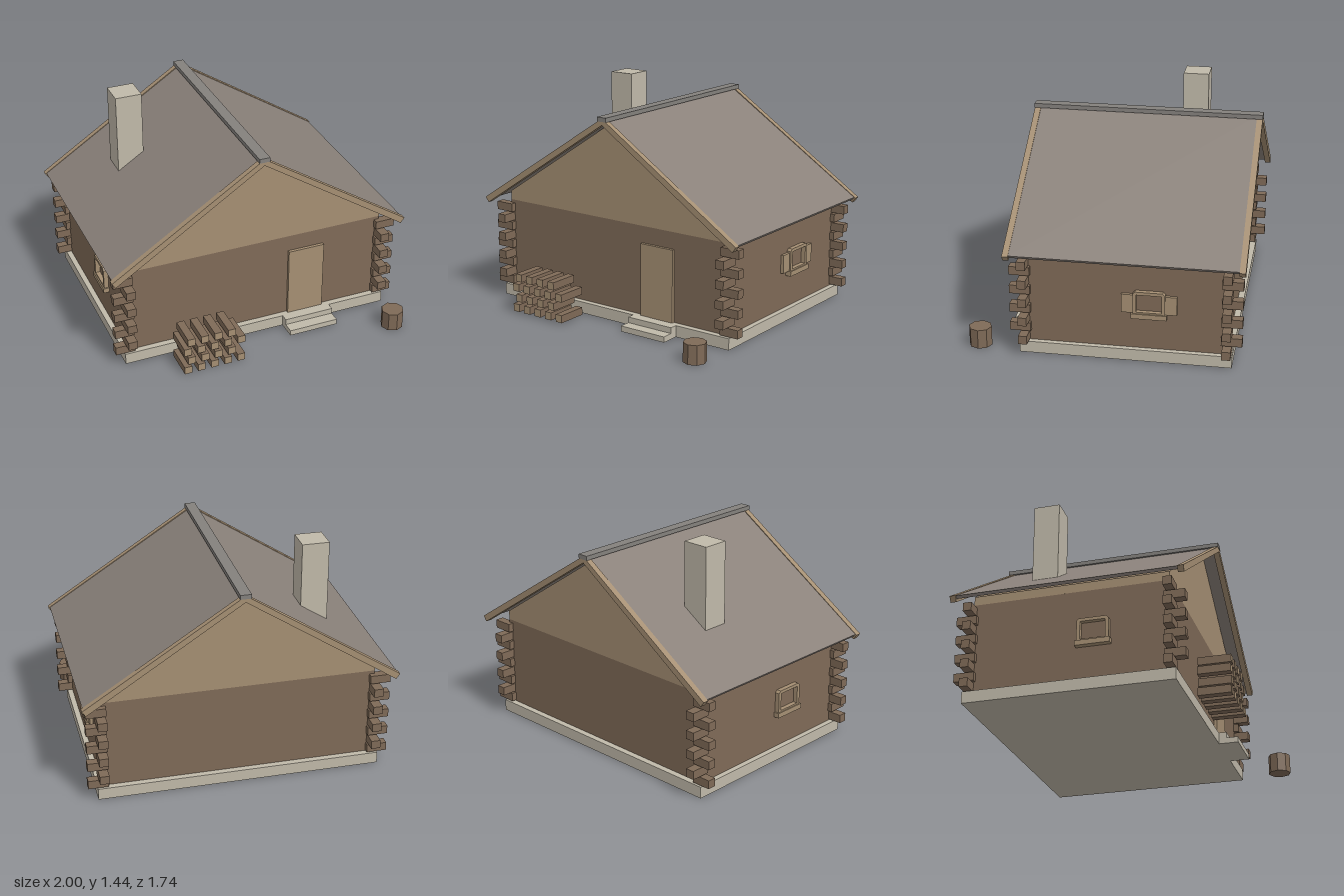
import * as THREE from 'three';

const mat = (name, color) => Object.assign(new THREE.MeshStandardMaterial({ color, flatShading: true }), { name });

export function createModel() {
  const logBrown = mat('log brown', 0x7f6a57);
  const plankTan = mat('plank tan', 0xa58f73);
  const stone = mat('pale stone', 0xc0b9a9);
  const slate = mat('roof slate', 0x8a817a);
  const ridgeGrey = mat('ridge grey', 0x84817d);
  const root = new THREE.Group();
  root.name = 'logCabin';
  const MID = -0.1325; // z of the middle of the house

  const add = (name, geo, material, parent = root) => {
    const m = new THREE.Mesh(geo, material);
    m.name = name;
    parent.add(m);
    return m;
  };
  // box given by its limits on each axis
  const box = (name, material, x0, x1, y0, y1, z0, z1, parent) => {
    const g = new THREE.BoxGeometry(x1 - x0, y1 - y0, z1 - z0);
    g.translate((x0 + x1) / 2, (y0 + y1) / 2, (z0 + z1) / 2);
    return add(name, g, material, parent);
  };
  // outline in x and y, extruded from z0 to z1
  const prism = (name, material, pts, z0, z1, parent) => {
    const s = new THREE.Shape(pts.map(p => new THREE.Vector2(...p)));
    const g = new THREE.ExtrudeGeometry(s, { depth: z1 - z0, bevelEnabled: false });
    g.translate(0, 0, z0);
    return add(name, g, material, parent);
  };
  const group = (name, parent = root) => {
    const g = new THREE.Group();
    g.name = name;
    parent.add(g);
    return g;
  };

  // base, steps and walls
  box('foundation', stone, -0.91, 0.91, 0, 0.075, -0.795, 0.53);
  box('lowerStep', stone, 0.18, 0.515, 0, 0.037, 0.5, 0.655);
  box('upperStep', stone, 0.18, 0.515, 0.037, 0.075, 0.5, 0.58);
  box('walls', logBrown, -0.875, 0.875, 0.075, 0.66, -0.755, 0.49);
  prism('gables', plankTan,
    [[-0.875, 0.66], [0.875, 0.66], [0.875, 0.718], [0, 1.295], [-0.875, 0.718]], -0.755, 0.49);
  box('door', plankTan, 0.225, 0.472, 0.075, 0.55, 0.48, 0.51);

  // crossed log ends at the four corners
  const logs = group('cornerLogs');
  for (const sx of [-1, 1]) for (const sz of [-1, 1]) for (let i = 0; i < 9; i++) {
    const along = i % 2 === 0;
    const w = along ? 0.13 : 0.06, d = along ? 0.055 : 0.13;
    const log = add('logEnd', new THREE.BoxGeometry(w, 0.055, d), logBrown, logs);
    log.position.set(sx * (along ? 0.905 : 0.875), 0.11 + i * 0.0627, MID + sz * (along ? 0.63 : 0.657));
  }

  // roof slopes, barge boards and ridge cap
  const roof = group('roof');
  for (const s of [-1, 1]) {
    const slope = (xt, yt, xb, yb, top, bottom) => [[0, bottom], [s * xb, yb], [s * xt, yt], [0, top]];
    prism('roofSlope', slate, slope(0.99, 0.685, 0.978, 0.668, 1.325, 1.302), -0.835, 0.57, roof);
    for (const [z0, z1] of [[0.567, 0.605], [-0.87, -0.832]])
      prism('bargeBoard', plankTan, slope(1, 0.682, 0.976, 0.648, 1.332, 1.29), z0, z1, roof);
  }
  box('ridgeCap', ridgeGrey, -0.035, 0.035, 1.312, 1.34, -0.872, 0.607, roof);
  box('chimney', stone, -0.64, -0.465, 0.8, 1.44, -0.47, -0.3);

  // windows, drawn facing +z and turned onto the side walls
  const makeWindow = (name, side, z, shutters) => {
    const w = group(name);
    const frame = new THREE.Shape([[-0.1, 0.32], [0.1, 0.32], [0.1, 0.45], [0.085, 0.465], [-0.085, 0.465], [-0.1, 0.45]]
      .map(p => new THREE.Vector2(...p)));
    frame.holes.push(new THREE.Path([[-0.078, 0.33], [-0.078, 0.445], [0.078, 0.445], [0.078, 0.33]]
      .map(p => new THREE.Vector2(...p))));
    add('windowFrame', new THREE.ExtrudeGeometry(frame, { depth: 0.03, bevelEnabled: false }), plankTan, w);
    box('windowSill', plankTan, -0.11, 0.11, 0.288, 0.32, -0.01, 0.038, w);
    if (shutters) for (const s of [-1, 1])
      add('shutter', new THREE.BoxGeometry(0.075, 0.12, 0.03), plankTan, w).position.set(s * 0.135, 0.38, 0.005);
    w.position.set(side * 0.875, 0, z);
    w.rotation.y = side * Math.PI / 2;
  };
  makeWindow('leftWindow', 1, -0.28, true);
  makeWindow('rightWindow', -1, 0.02, false);

  // stacked firewood with pale cut ends
  const pile = group('firewood');
  const wood = [logBrown, logBrown, logBrown, logBrown, plankTan, plankTan];
  for (let row = 0; row < 4; row++) {
    const count = row % 2 ? 4 : 5;
    for (let i = 0; i < count; i++) {
      const x = (row % 2 ? -0.557 : -0.582) + i * 0.09;
      add('firewoodLog', new THREE.BoxGeometry(0.05, 0.05, 0.205), wood, pile)
        .position.set(x, 0.036 + row * 0.069, 0.683);
    }
  }

  // chopping block
  add('choppingBlock', new THREE.CylinderGeometry(0.073, 0.073, 0.125, 8), logBrown).position.set(0.848, 0.0625, 0.797);
  return root;
}
